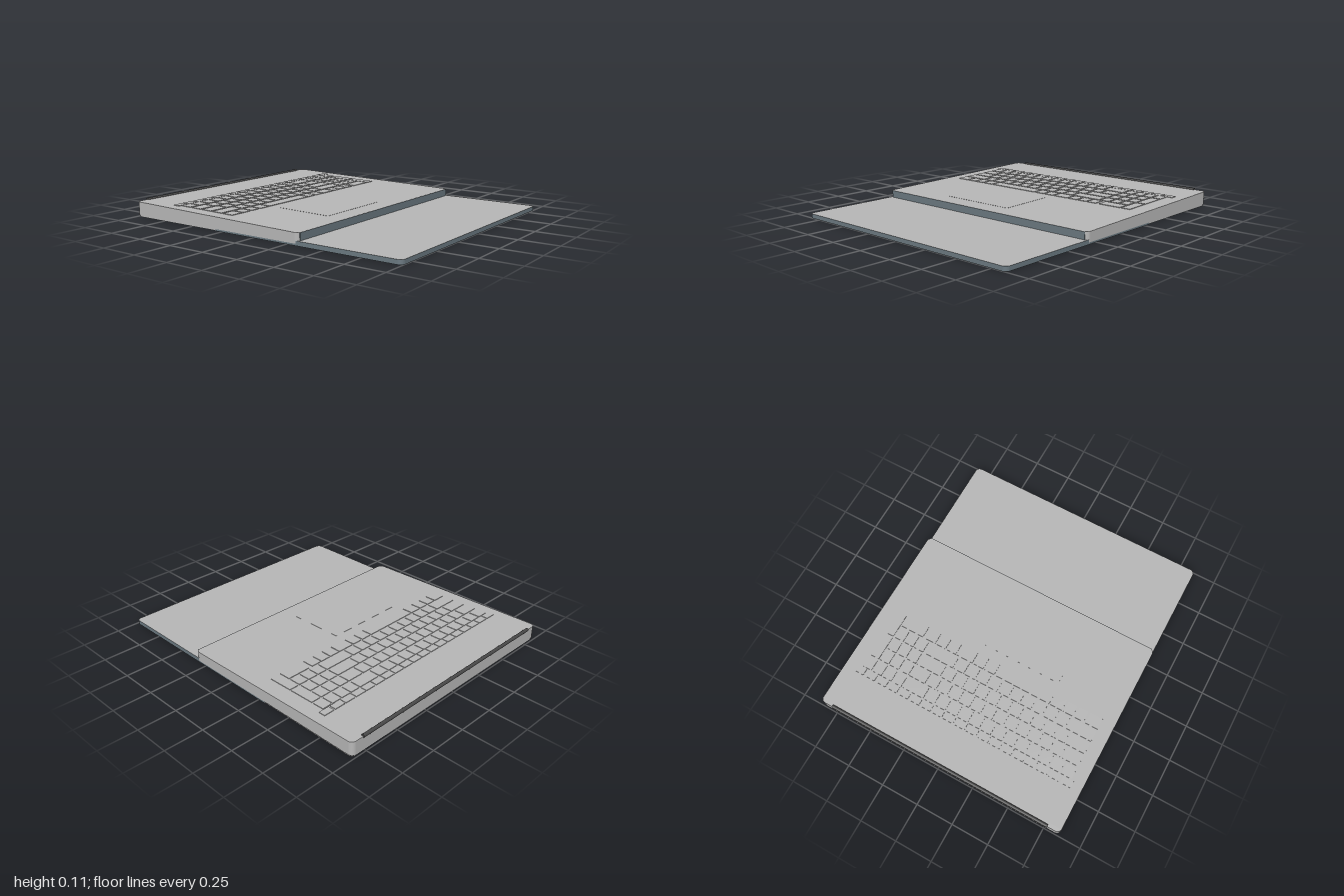
import * as THREE from 'three';

const silver = new THREE.MeshStandardMaterial({ name: 'silver', color: 0xb8b8b8 });
const slate = new THREE.MeshStandardMaterial({ name: 'slate', color: 0x6c7a82 });
const charcoal = new THREE.MeshStandardMaterial({ name: 'charcoal', color: 0x484848 });

// Rounded horizontal slab between two z values; materials are [top and bottom, sides]
function slab(name, halfW, z0, z1, y0, y1, r, materials) {
  const s = new THREE.Shape();
  const a = -z1, b = -z0;
  s.moveTo(-halfW + r, a);
  s.lineTo(halfW - r, a);
  s.absarc(halfW - r, a + r, r, -Math.PI / 2, 0);
  s.lineTo(halfW, b - r);
  s.absarc(halfW - r, b - r, r, 0, Math.PI / 2);
  s.lineTo(-halfW + r, b);
  s.absarc(-halfW + r, b - r, r, Math.PI / 2, Math.PI);
  s.lineTo(-halfW, a + r);
  s.absarc(-halfW + r, a + r, r, Math.PI, Math.PI * 1.5);
  const g = new THREE.ExtrudeGeometry(s, { depth: y1 - y0, bevelEnabled: false, curveSegments: 6 });
  g.rotateX(-Math.PI / 2);
  g.translate(0, y0, 0);
  const mesh = new THREE.Mesh(g, materials);
  mesh.name = name;
  return mesh;
}

function box(name, x0, x1, y0, y1, z0, z1, material) {
  const mesh = new THREE.Mesh(new THREE.BoxGeometry(x1 - x0, y1 - y0, z1 - z0), material);
  mesh.position.set((x0 + x1) / 2, (y0 + y1) / 2, (z0 + z1) / 2);
  mesh.name = name;
  return mesh;
}

const BACK = -0.993, FRONT = 0.335, Y_BACK = 0.1, Y_FRONT = 0.075;
const slope = (Y_BACK - Y_FRONT) / (FRONT - BACK);
const deckY = z => Y_FRONT + (FRONT - z) * slope;

function buildKeyboard() {
  const keys = new THREE.Group();
  keys.name = 'keyboard';
  const gap = 0.011, unit = 0.0815, left = -0.77, pitch = 0.089, depth = 0.075;
  const key = (x0, x1, z0, z1) =>
    keys.add(box('key', x0 + gap / 2, x1 - gap / 2, -0.002, 0.004, z0, z1, silver));

  // Short keys along the back
  for (let i = 0; i < 19; i++) {
    key(-0.79 + i * 0.083, -0.79 + (i + 1) * 0.083, -0.722, -0.677);
  }

  // Main block, key widths in units, back row first
  const ones = n => Array(n).fill(1);
  const rows = [
    [...ones(13), 2],
    [1.5, ...ones(12), 1.5],
    [1.75, ...ones(11), 2.25],
    [2.25, ...ones(10), 2.75],
    [1.2, 0.95, 0.95, 1.1, 4.9, 1, 1, 1.5, 0.95, 0.95, 0.95]
  ];
  rows.forEach((row, r) => {
    const z1 = -0.596 + r * pitch;
    let x = left;
    for (const w of row) {
      key(x, x + w * unit, z1 - depth, z1);
      x += w * unit;
    }
  });

  // Number pad with two double-height keys on its outer column
  const padX = 0.452, padW = 0.0745;
  for (let r = 0; r < 5; r++) {
    const z1 = -0.596 + r * pitch;
    if (r === 4) {
      key(0.505, padX + 3 * padW, z1 - depth, z1);
    } else {
      for (let c = 0; c < 3; c++) key(padX + c * padW, padX + (c + 1) * padW, z1 - depth, z1);
    }
    if (r === 0) key(padX + 3 * padW, padX + 4 * padW, z1 - depth, z1);
    if (r === 2 || r === 4) key(padX + 3 * padW, padX + 4 * padW, z1 - depth - pitch, z1);
  }
  return keys;
}

export function createModel() {
  const model = new THREE.Group();
  model.name = 'laptop';

  // Flat lid lying under the front of the base
  model.add(slab('lid', 0.85, -0.32, 1, 0, 0.028, 0.03, [silver, slate]));

  // Wedge body, taller at the back
  const body = slab('baseBody', 0.852, BACK, FRONT, 0.012, 0.1, 0.03, [silver, silver]);
  const p = body.geometry.attributes.position;
  for (let i = 0; i < p.count; i++) {
    if (p.getY(i) > 0.05) p.setY(i, deckY(p.getZ(i)));
  }
  body.geometry.computeVertexNormals();
  model.add(body);

  // Narrow foot and underside of the base
  model.add(slab('baseFoot', 0.848, BACK + 0.003, FRONT - 0.004, 0.003, 0.012, 0.03, [silver, silver]));
  model.add(slab('baseUnderside', 0.846, BACK + 0.005, FRONT - 0.006, 0.001, 0.004, 0.03, [slate, slate]));

  // Front face panel
  model.add(box('frontPanel', -0.835, 0.835, 0.013, 0.0745, FRONT - 0.002, FRONT + 0.002, slate));

  // Keyboard and touchpad follow the sloping deck
  const deck = new THREE.Group();
  deck.name = 'deck';
  deck.position.y = deckY(0);
  deck.rotation.x = Math.atan(slope);
  deck.add(buildKeyboard());
  deck.add(box('touchpad', -0.41, 0.13, -0.002, 0.001, -0.165, 0.21, silver));
  model.add(deck);

  // Hinge bar along the back edge
  const hinge = new THREE.Mesh(new THREE.CylinderGeometry(0.011, 0.011, 1.535, 20), charcoal);
  hinge.rotation.z = Math.PI / 2;
  hinge.position.set(0, 0.1, -0.989);
  hinge.name = 'hinge';
  model.add(hinge);

  return model;
}
